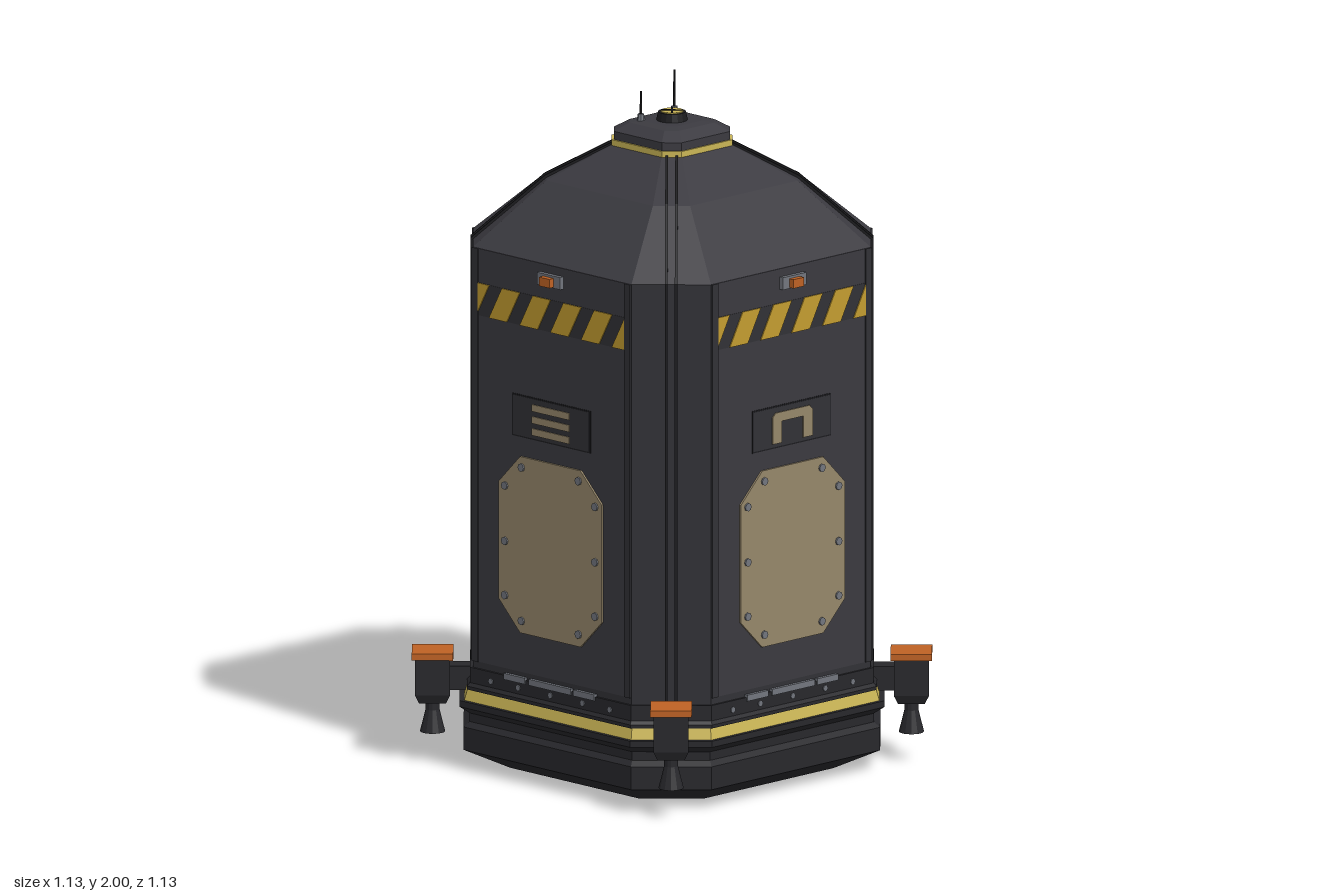
import * as THREE from 'three';

const mat = (name, color) => {
  const m = new THREE.MeshStandardMaterial({ color, flatShading: true });
  m.name = name;
  return m;
};

export function createModel() {
  const M = {
    panel: mat('panelGrey', 0x3b3a40),
    hull: mat('hullGrey', 0x313136),
    dark: mat('baseDark', 0x28282c),
    black: mat('seamBlack', 0x1b1b1e),
    yellow: mat('bandYellow', 0xcbb656),
    hazard: mat('hazardYellow', 0xc39c30),
    tan: mat('hatchTan', 0x96876a),
    orange: mat('orange', 0xbf6224),
    steel: mat('steel', 0x72767e),
  };
  const root = new THREE.Group();
  root.name = 'capsule';

  const add = (parent, name, geo, material, x = 0, y = 0, z = 0) => {
    const mesh = new THREE.Mesh(geo, material);
    mesh.name = name;
    mesh.position.set(x, y, z);
    parent.add(mesh);
    return mesh;
  };
  const box = (parent, name, material, w, h, d, x, y, z) =>
    add(parent, name, new THREE.BoxGeometry(w, h, d), material, x, y, z);
  const plate = (points, depth) => new THREE.ExtrudeGeometry(
    new THREE.Shape(points.map(([x, y]) => new THREE.Vector2(x, y))),
    { depth, bevelEnabled: false });

  // Stacks chamfered-square rings [half width, half flat, y] from bottom to top
  const loft = (rings) => {
    const pts = rings.map(([h, f, y]) =>
      [[f, h], [h, f], [h, -f], [f, -h], [-f, -h], [-h, -f], [-h, f], [-f, h]]
        .map(([x, z]) => [x, y, z]));
    const out = [];
    for (let r = 0; r < pts.length - 1; r++) {
      for (let i = 0; i < 8; i++) {
        const j = (i + 1) % 8;
        const [a, b, c, d] = [pts[r][i], pts[r][j], pts[r + 1][j], pts[r + 1][i]];
        out.push(...a, ...b, ...c, ...a, ...c, ...d);
      }
    }
    const lo = pts[0], hi = pts[pts.length - 1];
    for (let i = 1; i < 7; i++) {
      out.push(...hi[0], ...hi[i], ...hi[i + 1], ...lo[0], ...lo[i + 1], ...lo[i]);
    }
    const g = new THREE.BufferGeometry();
    g.setAttribute('position', new THREE.Float32BufferAttribute(out, 3));
    g.computeVertexNormals();
    return g;
  };

  // Hull, roof and base
  add(root, 'base', loft([[0.39, 0.26, 0], [0.5, 0.338, 0.058], [0.5, 0.338, 0.125],
    [0.485, 0.328, 0.14], [0.485, 0.328, 0.165], [0.51, 0.345, 0.185], [0.51, 0.345, 0.203]]), M.dark);
  add(root, 'baseBand', loft([[0.498, 0.337, 0.203], [0.49, 0.332, 0.235]]), M.yellow);
  add(root, 'baseCollar', loft([[0.494, 0.33, 0.235], [0.494, 0.33, 0.245],
    [0.487, 0.325, 0.255], [0.487, 0.325, 0.3]]), M.dark);
  add(root, 'hull', loft([[0.48, 0.32, 0.3], [0.48, 0.32, 1.53]]), M.hull);
  add(root, 'roof', loft([[0.48, 0.32, 1.53], [0.29, 0.215, 1.71], [0.14, 0.1, 1.808]]), M.panel);

  // Top cap with hatch and aerials
  add(root, 'capBand', loft([[0.142, 0.102, 1.805], [0.142, 0.102, 1.824]]), M.yellow);
  add(root, 'cap', loft([[0.137, 0.097, 1.824], [0.137, 0.097, 1.848],
    [0.1, 0.07, 1.872], [0.07, 0.05, 1.876]]), M.panel);
  add(root, 'capHatch', new THREE.CylinderGeometry(0.04, 0.046, 0.03, 16), M.black, 0, 1.885, 0);
  add(root, 'hatchDisc', new THREE.CylinderGeometry(0.033, 0.033, 0.004, 16), M.yellow, 0, 1.901, 0);
  for (const s of [-1, 1]) {
    box(root, 'hatchCross', M.black, 0.064, 0.003, 0.006, 0, 1.9035, 0).rotation.y = s * Math.PI / 4;
    const top = s > 0 ? 2 : 1.96;
    add(root, 'aerialBase', new THREE.CylinderGeometry(0.009, 0.012, 0.022, 8), M.steel, s * 0.067, 1.883, -0.058);
    add(root, 'aerial', new THREE.CylinderGeometry(0.003, 0.004, top - 1.87, 6), M.black,
      s * 0.067, (top + 1.87) / 2, -0.058);
  }

  // One decorated side, built facing +z
  const side = (k) => {
    const g = new THREE.Group();
    g.name = 'sidePanel';
    g.rotation.y = k * Math.PI / 2;
    root.add(g);
    box(g, 'wallPanel', M.panel, 0.59, 1.21, 0.006, 0, 0.925, 0.479);
    for (const s of [-1, 1]) {
      box(g, 'panelTrim', M.hull, 0.024, 1.21, 0.012, s * 0.307, 0.925, 0.48);
    }

    // Hazard stripes, cut off at the panel edges
    const lo = 1.335, hi = 1.43, e = 0.295;
    box(g, 'hazardBacking', M.hull, 2 * e, hi - lo, 0.004, 0, (lo + hi) / 2, 0.481);
    const stripes = [[[-e, lo + 0.012], [-0.25, hi], [-e, hi]], [[0.246, lo], [e, lo], [e, hi - 0.005]]];
    for (let i = 0; i < 4; i++) {
      const x = -0.25 + i * 0.124;
      stripes.push([[x, lo], [x + 0.072, lo], [x + 0.124, hi], [x + 0.052, hi]]);
    }
    stripes.forEach((p) => add(g, 'hazardStripe', plate(p, 0.003), M.hazard, 0, 0, 0.483));

    // Marker lamp
    box(g, 'lampMount', M.steel, 0.094, 0.036, 0.02, 0, 1.488, 0.485);
    box(g, 'lamp', M.orange, 0.042, 0.026, 0.024, 0, 1.486, 0.5);

    // Dark plate carrying a grip, or vent slats on one side
    box(g, 'gripPlateEdge', M.black, 0.316, 0.124, 0.003, 0, 1.07, 0.482);
    box(g, 'gripPlate', M.hull, 0.308, 0.116, 0.004, 0, 1.07, 0.4825);
    if (k === 3) {
      for (const y of [1.032, 1.067, 1.102]) {
        box(g, 'ventSlat', M.tan, 0.15, 0.02, 0.005, 0, y, 0.485);
      }
    } else {
      add(g, 'grip', plate([[-0.08, 1.022], [-0.043, 1.022], [-0.043, 1.085], [0.043, 1.085],
        [0.043, 1.022], [0.08, 1.022], [0.08, 1.1], [0.068, 1.112], [-0.068, 1.112], [-0.08, 1.1]],
      0.004), M.tan, 0, 0, 0.484);
    }

    // Bolted access hatch
    add(g, 'accessHatch', plate([[-0.122, 0.436], [0.122, 0.436], [0.208, 0.522], [0.208, 0.866],
      [0.122, 0.952], [-0.122, 0.952], [-0.208, 0.866], [-0.208, 0.522]], 0.008), M.tan, 0, 0, 0.48);
    const bolt = (x, y, z, r) => {
      add(g, 'bolt', new THREE.CylinderGeometry(r, r, 0.008, 8), M.steel, x, y, z).rotation.x = Math.PI / 2;
    };
    for (const s of [-1, 1]) {
      for (const [x, y] of [[0.115, 0.921], [0.182, 0.857], [0.182, 0.695], [0.182, 0.536], [0.115, 0.472]]) {
        bolt(s * x, y, 0.489, 0.012);
      }
    }

    // Lower hinge bars and collar bolts
    for (const [x, w] of [[-0.143, 0.084], [0, 0.17], [0.138, 0.084]]) {
      box(g, 'hingeBar', M.steel, w, 0.018, 0.016, x, 0.298, 0.483);
    }
    for (const x of [-0.24, -0.13, 0, 0.13, 0.24]) bolt(x, 0.273, 0.486, 0.009);
  };

  // One corner, built facing +x along the diagonal
  const corner = (k) => {
    const g = new THREE.Group();
    g.name = 'corner';
    g.rotation.y = Math.PI / 4 + k * Math.PI / 2;
    root.add(g);

    // Twin rails following the hull and roof
    const rail = plate([[0.55, 0.3], [0.573, 0.3], [0.573, 1.533], [0.361, 1.717],
      [0.172, 1.813], [0.16, 1.8], [0.35, 1.7], [0.55, 1.525]], 0.008);
    for (const z of [-0.018, 0.01]) add(g, 'cornerRail', rail, M.black, 0, 0, z);

    // Thruster pod on an arm
    const r = 0.681;
    box(g, 'podArm', M.dark, 0.09, 0.07, 0.06, 0.6, 0.247, 0);
    box(g, 'podCap', M.orange, 0.118, 0.02, 0.118, r, 0.315, 0);
    box(g, 'podBody', M.dark, 0.1, 0.105, 0.1, r, 0.253, 0);
    add(g, 'podTaper', new THREE.CylinderGeometry(0.0707, 0.054, 0.026, 4, 1).rotateY(Math.PI / 4),
      M.dark, r, 0.188, 0);
    const bell = [[0, 0.18], [0.02, 0.18], [0.02, 0.15], [0.026, 0.125], [0.036, 0.085], [0.028, 0.085], [0, 0.13]];
    add(g, 'nozzle', new THREE.LatheGeometry(
      bell.reverse().map(([x, y]) => new THREE.Vector2(x, y)), 12), M.dark, r, 0, 0);
  };

  for (let k = 0; k < 4; k++) {
    side(k);
    corner(k);
  }
  return root;
}
